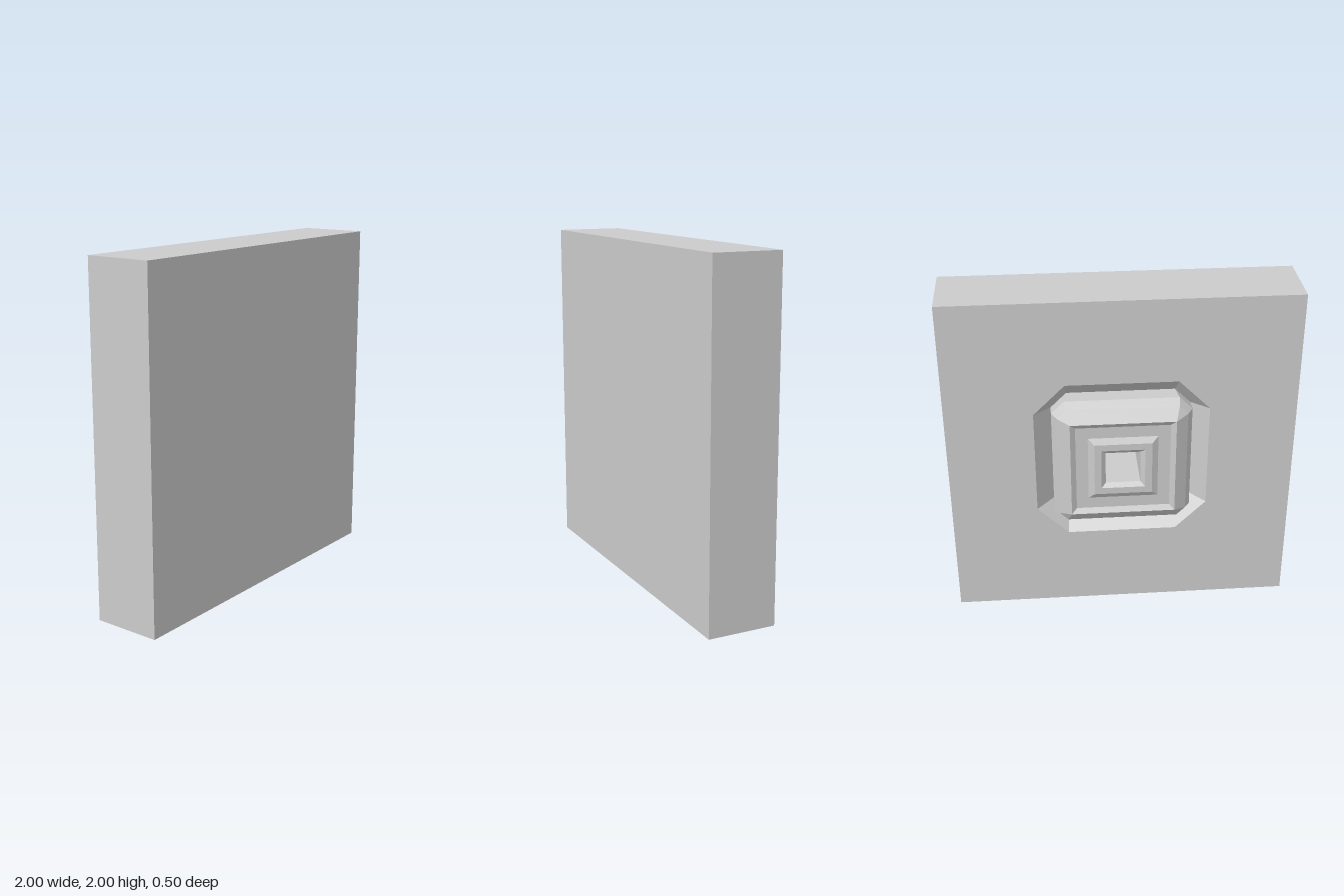
import * as THREE from 'three';

const CENTRE_Y = 1;

// Square of half-size h whose corners are cut back to c (c = h keeps them sharp)
function ring([h, c, z]) {
  return [[h, -c], [h, c], [c, h], [-c, h], [-h, c], [-h, -c], [-c, -h], [c, -h]]
    .map(([x, y]) => new THREE.Vector3(x, y + CENTRE_Y, z));
}

// Joins successive rings, running from the front towards the back
function loft(name, sections) {
  const points = [];
  const addTriangle = (...corners) => {
    if (new THREE.Triangle(...corners).getArea() > 1e-7) points.push(...corners);
  };
  const rings = sections.map(ring);
  for (let k = 0; k + 1 < rings.length; k++) {
    const a = rings[k], b = rings[k + 1];
    for (let i = 0; i < 8; i++) {
      const j = (i + 1) % 8;
      addTriangle(a[i], b[i], b[j]);
      addTriangle(a[i], b[j], a[j]);
    }
  }
  const geometry = new THREE.BufferGeometry().setFromPoints(points);
  geometry.computeVertexNormals();
  const mesh = new THREE.Mesh(geometry,
    new THREE.MeshStandardMaterial({ color: 0xcccccc, flatShading: true }));
  mesh.name = name;
  return mesh;
}

export function createModel() {
  const model = new THREE.Group();
  model.name = 'wallPanel';
  model.add(
    // Square slab, open at the back around the boss
    loft('slab', [[0, 0, 0.25], [1, 1, 0.25], [1, 1, -0.15], [0.5, 0.32, -0.15]]),
    // Sloping eight-sided groove
    loft('groove', [[0.5, 0.32, -0.15], [0.4, 0.31, -0.05]]),
    // Bevelled boss rising out of the groove
    loft('boss', [[0.4, 0.31, -0.05], [0.4, 0.325, -0.15], [0.37, 0.32, -0.2], [0.3, 0.3, -0.25]]),
    // Sunken border
    loft('border', [[0.3, 0.3, -0.25], [0.27, 0.27, -0.23], [0.2, 0.2, -0.23]]),
    // Raised collar around the socket
    loft('collar', [[0.2, 0.2, -0.23], [0.165, 0.165, -0.25], [0.125, 0.125, -0.25]]),
    // Deep square socket with a chamfered mouth
    loft('socket', [[0.125, 0.125, -0.25], [0.1, 0.1, -0.23], [0.1, 0.1, 0.1], [0, 0, 0.1]]),
  );
  return model;
}
